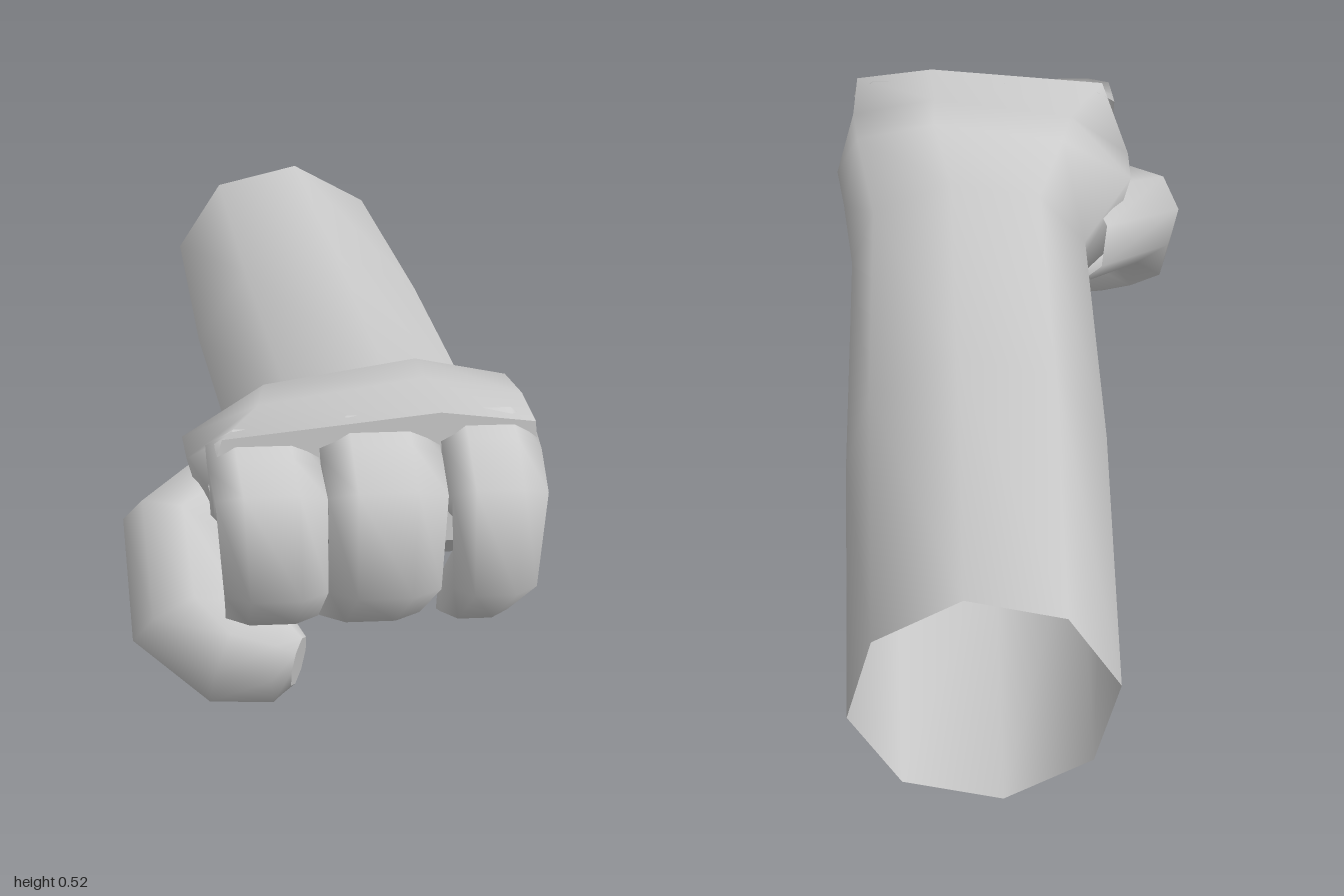
import * as THREE from 'three';

const material = new THREE.MeshStandardMaterial({ color: 0xcccccc, side: THREE.DoubleSide });

// Smooth skin over rings of points (counter-clockwise around the travel direction), with an optional end cap.
function loft(name, rings, cap) {
  const n = rings[0].length;
  const pos = rings.flat(2);
  const index = [];
  for (let i = 0; i < rings.length - 1; i++) {
    for (let j = 0; j < n; j++) {
      const k = (j + 1) % n;
      const a = i * n + j, b = i * n + k, c = a + n, d = b + n;
      index.push(a, b, c, b, d, c);
    }
  }
  if (cap) {
    const last = rings[rings.length - 1];
    const start = pos.length / 3;
    const mid = [0, 1, 2].map((c) => last.reduce((s, p) => s + p[c], 0) / n);
    pos.push(...last.flat(), ...mid);
    for (let j = 0; j < n; j++) index.push(start + j, start + (j + 1) % n, start + n);
  }
  const geo = new THREE.BufferGeometry();
  geo.setAttribute('position', new THREE.Float32BufferAttribute(pos, 3));
  geo.setIndex(index);
  geo.computeVertexNormals();
  const mesh = new THREE.Mesh(geo, material);
  mesh.name = name;
  return mesh;
}

// Eight-sided forearm section that fills the given width and height
function armRing(z, x0, x1, y0, y1) {
  return Array.from({ length: 8 }, (_, j) => {
    const a = THREE.MathUtils.degToRad(82 + 45 * j);
    return [(x0 + x1) / 2 + Math.cos(a) * (x1 - x0) / 2, (y0 + y1) / 2 + Math.sin(a) * (y1 - y0) / 2, z];
  });
}

// Palm sections: top, upper thumb side, thumb side, lower thumb side, bottom, then up the outer side
const palm = [
  [0.57, [[0.15, 0.508], [-0.1, 0.47], [-0.235, 0.385], [-0.19, 0.22], [0.02, 0.15], [0.22, 0.18], [0.33, 0.33], [0.3, 0.478]]],
  [0.68, [[0.15, 0.505], [-0.12, 0.465], [-0.235, 0.38], [-0.17, 0.24], [0.02, 0.2], [0.22, 0.21], [0.345, 0.345], [0.31, 0.475]]],
  [0.84, [[0.155, 0.49], [-0.19, 0.455], [-0.212, 0.38], [-0.19, 0.31], [0.03, 0.28], [0.2, 0.28], [0.315, 0.34], [0.305, 0.472]]],
];

// Curled finger in profile: outer z, y, inner z, y, and share of the taper from knuckle to tip
const curl = [
  [0.8, 0.49, 0.78, 0.28, 0],
  [0.87, 0.46, 0.86, 0.31, 0],
  [0.968, 0.4, 0.94, 0.345, 0.1],
  [1.0, 0.24, 0.92, 0.31, 0.5],
  [0.865, 0.157, 0.8, 0.23, 0.95],
  [0.81, 0.148, 0.785, 0.2, 1],
];
// Across the finger: side position and depth from outer to inner line
const across = [[1, 0.14], [0.5, 0], [-0.5, 0], [-1, 0.14], [-0.9, 0.8], [-0.5, 1], [0.5, 1], [0.9, 0.8]];

function finger(name, knuckle, tip, drop) {
  const rings = curl.map(([oz, oy, iz, iy, t], i) => {
    const x0 = THREE.MathUtils.lerp(knuckle[0], tip[0], t);
    const x1 = THREE.MathUtils.lerp(knuckle[1], tip[1], t);
    const top = oy - (i < 2 ? drop : 0);
    return across.map(([u, d]) => [
      (x0 + x1) / 2 + u * (x1 - x0) / 2,
      THREE.MathUtils.lerp(top, iy, d),
      THREE.MathUtils.lerp(oz, iz, d),
    ]);
  });
  return loft(name, rings, true);
}

// Thumb: eight-sided rings square to a bent path of x, y, z, radius
function thumb() {
  const path = [
    [-0.11, 0.28, 0.55, 0.11],
    [-0.25, 0.24, 0.68, 0.098],
    [-0.24, 0.135, 0.755, 0.098],
    [-0.17, 0.088, 0.795, 0.09],
    [-0.095, 0.085, 0.815, 0.075],
    [-0.068, 0.08, 0.825, 0.042],
  ];
  const pts = path.map((p) => new THREE.Vector3(p[0], p[1], p[2]));
  const bend = new THREE.Vector3(0.42, 0.67, 0.63);
  const rings = pts.map((p, i) => {
    const t = pts[Math.min(i + 1, pts.length - 1)].clone().sub(pts[Math.max(i - 1, 0)]).normalize();
    const u = bend.clone().cross(t).normalize();
    const v = t.clone().cross(u);
    return Array.from({ length: 8 }, (_, j) => {
      const a = (j + 0.5) * Math.PI / 4;
      return p.clone().addScaledVector(u, Math.cos(a) * path[i][3]).addScaledVector(v, Math.sin(a) * path[i][3]).toArray();
    });
  });
  return loft('thumb', rings, true);
}

export function createModel() {
  const group = new THREE.Group();
  group.name = 'forearmWithFist';

  // Forearm, open at the back, running into the palm
  group.add(loft('forearmAndPalm', [
    armRing(-1, -0.138, 0.295, 0.13, 0.526),
    armRing(-0.27, -0.15, 0.312, 0.113, 0.503),
    armRing(0.43, -0.142, 0.315, 0.148, 0.455),
    ...palm.map(([z, ring]) => ring.map(([x, y]) => [x, y, z])),
  ], true));

  // Three curled fingers
  group.add(finger('indexFinger', [-0.213, -0.037], [-0.185, -0.04], 0.03));
  group.add(finger('middleFinger', [-0.037, 0.153], [-0.037, 0.12], 0.012));
  group.add(finger('outerFinger', [0.155, 0.31], [0.155, 0.26], 0.005));

  group.add(thumb());
  return group;
}
